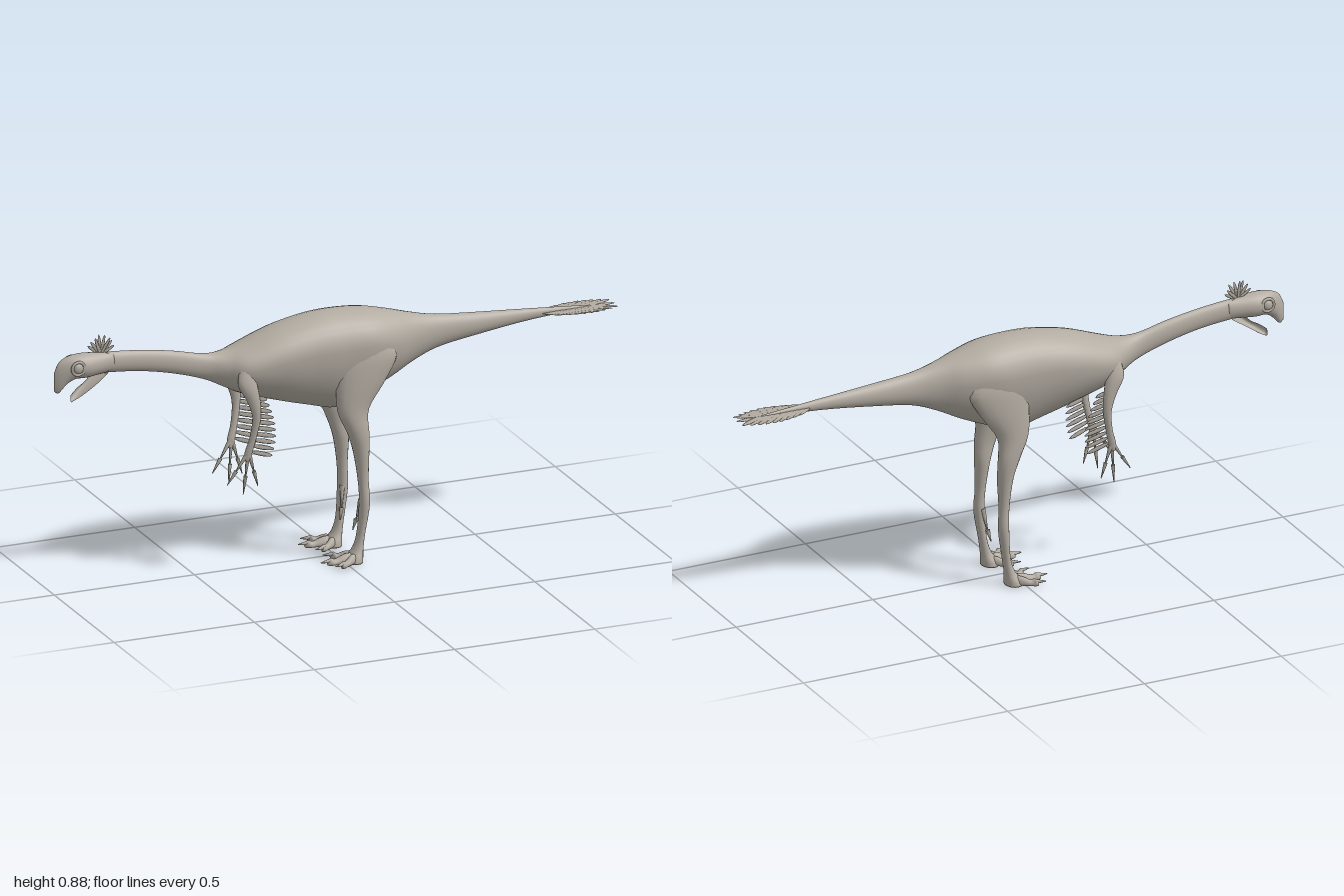
import * as THREE from 'three';

const skin = new THREE.MeshStandardMaterial({ color: 0xb3aca2 });
const V = (x, y, z) => new THREE.Vector3(x, y, z);

// Smoothly subdivide a list of number rows (Catmull-Rom)
function smooth(rows, steps = 4) {
  const out = [], n = rows.length - 1;
  for (let i = 0; i < n; i++) {
    const a = rows[Math.max(i - 1, 0)], b = rows[i], c = rows[i + 1], d = rows[Math.min(i + 2, n)];
    for (let s = 0; s < steps; s++) {
      const t = s / steps;
      out.push(b.map((_, k) => b[k] + 0.5 * t * (c[k] - a[k]
        + t * (2 * a[k] - 5 * b[k] + 4 * c[k] - d[k] + t * (3 * (b[k] - c[k]) + d[k] - a[k])))));
    }
  }
  out.push(rows[n]);
  return out;
}

// Skin a row of equal rings and close both ends
function skinRings(rings) {
  const m = rings[0].length;
  const centre = (r) => r.reduce((s, p) => s.add(p), V(0, 0, 0)).divideScalar(m);
  const all = [
    rings[0].map(() => centre(rings[0])), ...rings,
    rings[0].map(() => centre(rings[rings.length - 1])),
  ];
  const pts = all.flat(), idx = [];
  for (let i = 0; i < all.length - 1; i++) {
    for (let j = 0; j < m; j++) {
      const a = i * m + j, b = i * m + (j + 1) % m, c = a + m, d = b + m;
      if (i > 0) idx.push(a, b, c);
      if (i < all.length - 2) idx.push(b, d, c);
      else if (i > 0) idx.push(b, c, c);
      if (i === 0) idx.push(b, d, c);
    }
  }
  // Turn the faces outward whichever way the rings run
  let volume = 0;
  for (let i = 0; i < idx.length; i += 3) {
    volume += pts[idx[i]].dot(pts[idx[i + 1]].clone().cross(pts[idx[i + 2]]));
  }
  if (volume < 0) idx.reverse();
  const g = new THREE.BufferGeometry().setFromPoints(pts);
  g.setIndex(idx);
  g.computeVertexNormals();
  return g;
}

// Lengthwise form: rows of [x, top, bottom, halfWidth, heightOfWidest 0..1, centreZ]
function alongX(rows, sides = 24) {
  return skinRings(smooth(rows).map(([x, top, bot, w, f = 0.5, z = 0]) => {
    const mid = bot + (top - bot) * f;
    return Array.from({ length: sides }, (_, j) => {
      const a = (j / sides) * Math.PI * 2, c = Math.cos(a), s = Math.sin(a);
      const narrow = s < 0 ? 1 - 0.12 * (f - 0.5) * 8 * s * s : 1;
      return V(x, mid + s * (s > 0 ? top - mid : mid - bot), z + c * w * narrow);
    });
  }));
}

// Upright limb: rows of [y, x, z, radiusX, radiusZ]
function alongY(rows, side, sides = 16) {
  return skinRings(smooth(rows).map(([y, x, z, rx, rz]) =>
    Array.from({ length: sides }, (_, j) => {
      const a = (j / sides) * Math.PI * 2;
      return V(x + Math.cos(a) * rx, y, side * (z + Math.sin(a) * rz));
    })));
}

// Thin leaf-shaped feather from root to tip
function feather(a, b, width, normal) {
  const dir = b.clone().sub(a), len = dir.length();
  dir.normalize();
  const across = normal.clone().cross(dir).normalize(), up = dir.clone().cross(across);
  const g = new THREE.SphereGeometry(1, 8, 6).scale(width, len / 2, 0.0015);
  g.applyMatrix4(new THREE.Matrix4().makeBasis(across, dir, up.negate().multiplyScalar(-1).negate()));
  return g.translate((a.x + b.x) / 2, (a.y + b.y) / 2, (a.z + b.z) / 2);
}

// Tapered claw or finger from root to tip
function spike(a, b, r) {
  const dir = b.clone().sub(a), len = dir.length();
  const g = new THREE.CylinderGeometry(r * 0.2, r, len, 8);
  g.applyQuaternion(new THREE.Quaternion().setFromUnitVectors(V(0, 1, 0), dir.normalize()));
  return g.translate((a.x + b.x) / 2, (a.y + b.y) / 2, (a.z + b.z) / 2);
}

export function createModel() {
  const model = new THREE.Group();
  const add = (name, geometry, parent = model) => {
    const mesh = new THREE.Mesh(geometry, skin);
    mesh.name = name;
    parent.add(mesh);
    return mesh;
  };
  const group = (name) => {
    const g = new THREE.Group();
    g.name = name;
    model.add(g);
    return g;
  };

  // Neck, trunk and tail in one sweep
  add('body', alongX([
    [-0.82, 0.823, 0.752, 0.02, 0.5], [-0.7, 0.812, 0.74, 0.019, 0.5], [-0.58, 0.793, 0.715, 0.02, 0.5],
    [-0.47, 0.768, 0.68, 0.025, 0.5], [-0.4, 0.768, 0.645, 0.055, 0.55], [-0.34, 0.783, 0.615, 0.092, 0.57],
    [-0.22, 0.826, 0.575, 0.11, 0.62], [-0.1, 0.852, 0.54, 0.113, 0.65], [0, 0.858, 0.518, 0.113, 0.66],
    [0.1, 0.85, 0.555, 0.11, 0.65], [0.19, 0.83, 0.595, 0.086, 0.6], [0.27, 0.808, 0.637, 0.053, 0.55],
    [0.36, 0.788, 0.673, 0.034, 0.5], [0.5, 0.775, 0.697, 0.027, 0.5], [0.7, 0.76, 0.722, 0.014, 0.5],
    [0.92, 0.742, 0.735, 0.004, 0.5],
  ], 32));

  // Skull with hooked beak, and the open lower jaw
  const head = group('head');
  add('skull', alongX([
    [-0.79, 0.82, 0.754, 0.019], [-0.84, 0.824, 0.75, 0.029], [-0.89, 0.829, 0.745, 0.039],
    [-0.93, 0.828, 0.745, 0.036], [-0.96, 0.822, 0.728, 0.025], [-0.985, 0.806, 0.702, 0.014],
    [-1, 0.775, 0.71, 0.004],
  ]), head);
  add('lowerJaw', alongX([
    [-0.815, 0.785, 0.745, 0.02], [-0.85, 0.76, 0.722, 0.029], [-0.885, 0.727, 0.698, 0.026],
    [-0.915, 0.71, 0.677, 0.018], [-0.94, 0.69, 0.664, 0.006],
  ], 16), head);
  for (const s of [1, -1]) {
    add('eye', new THREE.SphereGeometry(0.017, 16, 10).scale(1, 1, 0.5).translate(-0.928, 0.79, s * 0.035), head);
    add('eyeRing', new THREE.TorusGeometry(0.022, 0.005, 8, 20).translate(-0.928, 0.79, s * 0.034), head);
  }

  // Feather crest at the back of the head
  for (let i = 0; i < 8; i++) {
    const a = 2.5 - i * 0.29, r = 0.055 + 0.012 * Math.sin(i * 0.45), z = ((i % 3) - 1) * 0.006;
    add('crestFeather', feather(V(-0.835, 0.815, 0),
      V(-0.835 + Math.cos(a) * r, 0.817 + Math.sin(a) * r, z), 0.006, V(0, 0, 1)), head);
  }

  // Flat feather fan around the tail tip
  const fan = group('tailFan');
  for (let i = 0; i < 9; i++) {
    const x = 0.73 + i * 0.022, reach = 0.064 * Math.sin(0.75 + i * 0.22);
    for (const s of [1, -1]) {
      add('tailFeather', feather(V(x, 0.741, 0), V(x + 0.065 + i * 0.003, 0.738, s * reach), 0.012, V(0, 1, 0)), fan);
    }
  }
  add('tailFeather', feather(V(0.88, 0.738, 0), V(1, 0.738, 0), 0.013, V(0, 1, 0)), fan);

  for (const s of [1, -1]) {
    // Leg from hip to foot
    const leg = group(s > 0 ? 'rightSideLeg' : 'leftSideLeg');
    leg.name = s > 0 ? 'frontSideLeg' : 'backSideLeg';
    add('thighAndShin', alongY([
      [0.76, 0.08, 0.08, 0.07, 0.018], [0.7, 0.082, 0.082, 0.105, 0.03], [0.62, 0.058, 0.084, 0.088, 0.032],
      [0.53, 0.03, 0.084, 0.056, 0.031], [0.45, 0.046, 0.088, 0.038, 0.029], [0.38, 0.058, 0.085, 0.027, 0.027],
      [0.28, 0.064, 0.088, 0.018, 0.018], [0.2, 0.067, 0.092, 0.018, 0.02], [0.1, 0.056, 0.088, 0.014, 0.018],
      [0.05, 0.045, 0.088, 0.018, 0.022], [0.02, 0.033, 0.088, 0.028, 0.034], [0.002, 0.03, 0.088, 0.03, 0.038],
    ], s), leg);
    // Three toes with claws, tips given as [x, z]
    for (const [x, z] of [[-0.065, 0.095], [-0.03, 0.035], [-0.035, 0.142]]) {
      const at = (t) => s * (0.088 + (z - 0.088) * t), px = (t) => 0.05 + (x - 0.05) * t;
      add('toe', alongX([
        [px(0), 0.03, 0.001, 0.012, 0.4, at(0)], [px(0.4), 0.035, 0.001, 0.017, 0.4, at(0.4)],
        [px(0.75), 0.022, 0.001, 0.013, 0.4, at(0.75)], [px(0.9), 0.027, 0.001, 0.014, 0.4, at(0.9)],
        [px(1), 0.018, 0.003, 0.007, 0.4, at(1)],
      ], 12), leg);
      add('toeClaw', spike(V(x + 0.008, 0.018, at(0.95)), V(x - 0.025, 0.016, at(1.12)), 0.008), leg);
    }
    // Small spur on the inner shank
    add('spur', spike(V(0.06, 0.21, s * 0.077), V(0.05, 0.13, s * 0.06), 0.009), leg);
    add('spurClaw', spike(V(0.05, 0.138, s * 0.061), V(0.042, 0.098, s * 0.052), 0.008), leg);

    // Arm, fingers and the row of arm feathers
    const arm = group(s > 0 ? 'frontSideArm' : 'backSideArm');
    add('armBones', alongY([
      [0.73, -0.34, 0.07, 0.025, 0.012], [0.67, -0.345, 0.08, 0.034, 0.019], [0.61, -0.325, 0.086, 0.023, 0.015],
      [0.55, -0.315, 0.086, 0.015, 0.012], [0.48, -0.325, 0.079, 0.012, 0.01], [0.43, -0.338, 0.073, 0.014, 0.009],
      [0.4, -0.343, 0.07, 0.01, 0.007],
    ], s, 12), arm);
    for (const [x, y, z] of [[-0.41, 0.32, 0.062], [-0.352, 0.28, 0.06], [-0.302, 0.305, 0.066]]) {
      const root = V(-0.338, 0.43, s * 0.072), tip = V(x, y, s * z), knuckle = root.clone().lerp(tip, 0.65);
      add('finger', spike(root, knuckle, 0.009), arm);
      add('fingerClaw', spike(knuckle.clone().lerp(root, 0.12), tip, 0.007), arm);
    }
    for (let i = 0; i < 10; i++) {
      const t = i / 9, y = 0.62 - 0.19 * t, z = 0.086 - 0.014 * t;
      add('armFeather', feather(V(-0.315 - 0.015 * t, y, s * z),
        V(-0.275 + 0.037 * Math.sin(t * 2.4), y - 0.015 - 0.012 * t, s * (z - 0.006)), 0.0085, V(0, 0, 1)), arm);
    }
  }
  return model;
}
